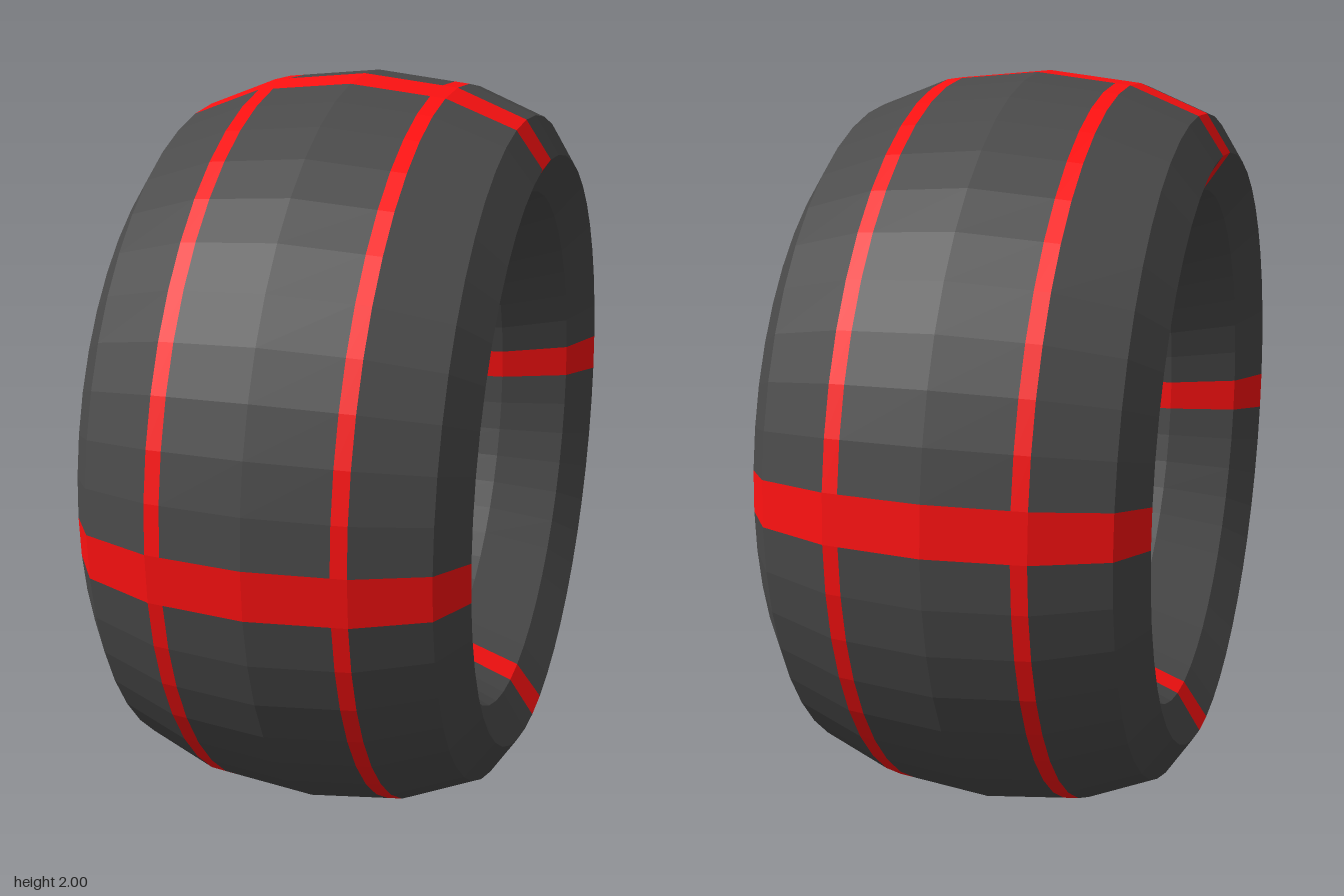
import * as THREE from 'three';

const STEPS = 48;                       // facets around the wheel
const STEP = (Math.PI * 2) / STEPS;

// Point k of the 12-sided oval cross-section (radius, offset along the axle)
const ovalPoint = (k) => {
  const t = (k * Math.PI) / 6;
  return new THREE.Vector2(0.8 + 0.2 * Math.cos(t), 0.5 * Math.sin(t));
};
const ovalRun = (from, to) =>
  Array.from({ length: to - from + 1 }, (_, i) => ovalPoint(from + i));

export function createModel() {
  const dark = new THREE.MeshStandardMaterial({ color: 0x4a4a4a, flatShading: true });
  const red = new THREE.MeshStandardMaterial({ color: 0xff1111, flatShading: true });
  const tyre = new THREE.Group();
  tyre.name = 'tyre';
  tyre.position.y = 1;

  // Sweeps a profile about the x axis, from facet `first` over `count` facets
  const sweep = (name, profile, first, count, material) => {
    const geometry = new THREE.LatheGeometry(profile, count, first * STEP, count * STEP);
    geometry.rotateZ(-Math.PI / 2);
    const mesh = new THREE.Mesh(geometry, material);
    mesh.name = name;
    tyre.add(mesh);
  };

  // Inner edges of the two thin stripes lie on the crown facets
  const stripeRight = ovalPoint(0).lerp(ovalPoint(-1), 0.84);
  const stripeLeft = ovalPoint(0).lerp(ovalPoint(1), 0.84);

  for (let quarter = 0; quarter < 4; quarter++) {
    const start = (quarter * STEPS) / 4;
    const first = start + 1;
    const count = STEPS / 4 - 1;
    // Wide red band wrapping the whole cross-section
    sweep('crossBand', ovalRun(0, 12), start, 1, red);
    // Dark rubber: middle of the tread, then shoulders, sidewalls and inside
    sweep('treadCentre', [stripeRight, ovalPoint(0), stripeLeft], first, count, dark);
    sweep('shouldersAndInside', ovalRun(1, 11), first, count, dark);
    // Thin red stripes running around the tread
    sweep('stripeRight', [ovalPoint(-1), stripeRight], first, count, red);
    sweep('stripeLeft', [stripeLeft, ovalPoint(1)], first, count, red);
  }

  const model = new THREE.Group();
  model.name = 'stripedTyre';
  model.add(tyre);
  return model;
}
